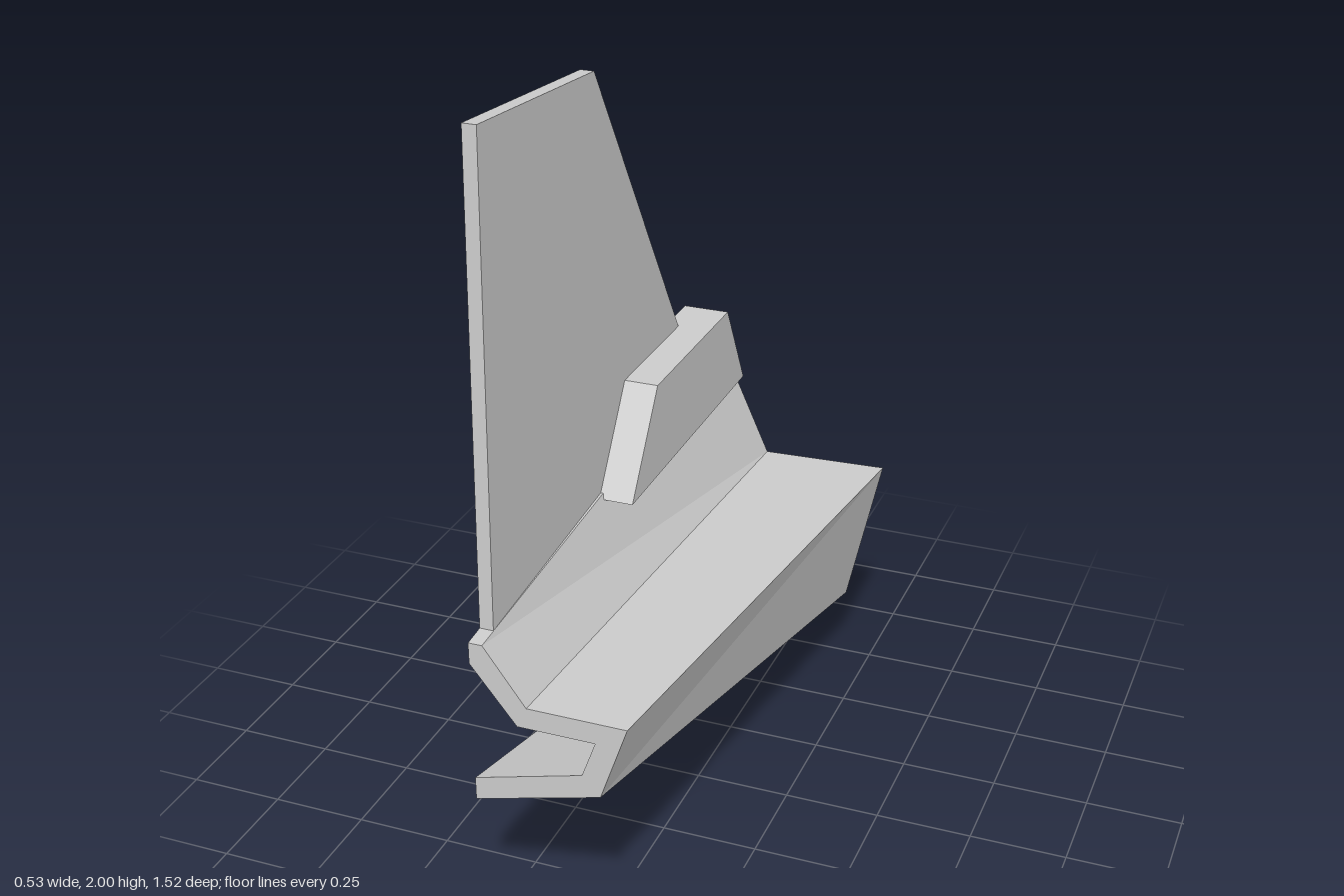
import * as THREE from 'three';

const material = new THREE.MeshStandardMaterial({ color: 0xcccccc, flatShading: true, side: THREE.DoubleSide });

// Matching x,y outlines of the folded hull, clockwise from the ridge
const frontSection = [
  [-0.27, 0.8], [-0.235, 0.8], [-0.13, 0.655], [0.12, 0.655], [0.05, 0.455], [-0.27, 0.37],
  [-0.27, 0.43], [0.005, 0.505], [0.04, 0.6], [-0.155, 0.6], [-0.27, 0.745],
];
const backSection = [
  [-0.27, 0.925], [-0.22, 0.925], [-0.08, 0.61], [0.265, 0.62], [0.17, 0.195], [-0.27, 0.005],
  [-0.27, 0.065], [0.125, 0.235], [0.205, 0.567], [-0.115, 0.565], [-0.27, 0.87],
];

// Straight loft between two outlines, closed at both ends
function loft(front, back, zFront, zBack) {
  const n = front.length;
  const f = front.map(([x, y]) => [x, y, zFront]);
  const b = back.map(([x, y]) => [x, y, zBack]);
  const positions = [];
  const tri = (...corners) => corners.forEach((c) => positions.push(...c));
  for (let i = 0; i < n; i++) {
    const j = (i + 1) % n;
    // The sloping side panels twist the other way
    if (i === 1 || i === 9) {
      tri(f[i], f[j], b[j]);
      tri(f[i], b[j], b[i]);
    } else {
      tri(f[i], f[j], b[i]);
      tri(f[j], b[j], b[i]);
    }
  }
  // End caps
  const cap = (ring, flip) => {
    const points = [...ring].reverse();
    const contour = points.map(([x, y]) => new THREE.Vector2(x, y));
    for (const [p, q, r] of THREE.ShapeUtils.triangulateShape(contour, [])) {
      if (flip) tri(points[p], points[r], points[q]);
      else tri(points[p], points[q], points[r]);
    }
  };
  cap(f, false);
  cap(b, true);
  const geometry = new THREE.BufferGeometry();
  geometry.setAttribute('position', new THREE.Float32BufferAttribute(positions, 3));
  geometry.computeVertexNormals();
  return geometry;
}

// Plate with a z,y side outline, spanning x0 to x1
function plate(outline, x0, x1) {
  const shape = new THREE.Shape(outline.map(([z, y]) => new THREE.Vector2(-z, y)));
  const geometry = new THREE.ExtrudeGeometry(shape, { depth: x1 - x0, bevelEnabled: false });
  return geometry.rotateY(Math.PI / 2).translate(x0, 0, 0);
}

export function createModel() {
  const model = new THREE.Group();
  model.name = 'finnedHullHalf';
  const add = (name, geometry) => {
    const mesh = new THREE.Mesh(geometry, material);
    mesh.name = name;
    model.add(mesh);
  };

  // Folded hull: ridge, sloping side, shelf, outer wall and lower flange
  add('hull', loft(frontSection, backSection, 0.76, -0.76));

  // Tall swept fin, running down through the ridge
  add('fin', plate([[0.665, 2], [0.06, 1.945], [-0.46, 1.1], [-0.685, 0.735], [0.703, 0.68]], -0.27, -0.235));

  // Tapered block beside the fin
  add('finBlock', plate([[-0.09, 1.097], [-0.6, 1.097], [-0.73, 0.85], [0.085, 0.843]], -0.27, -0.145));

  return model;
}
